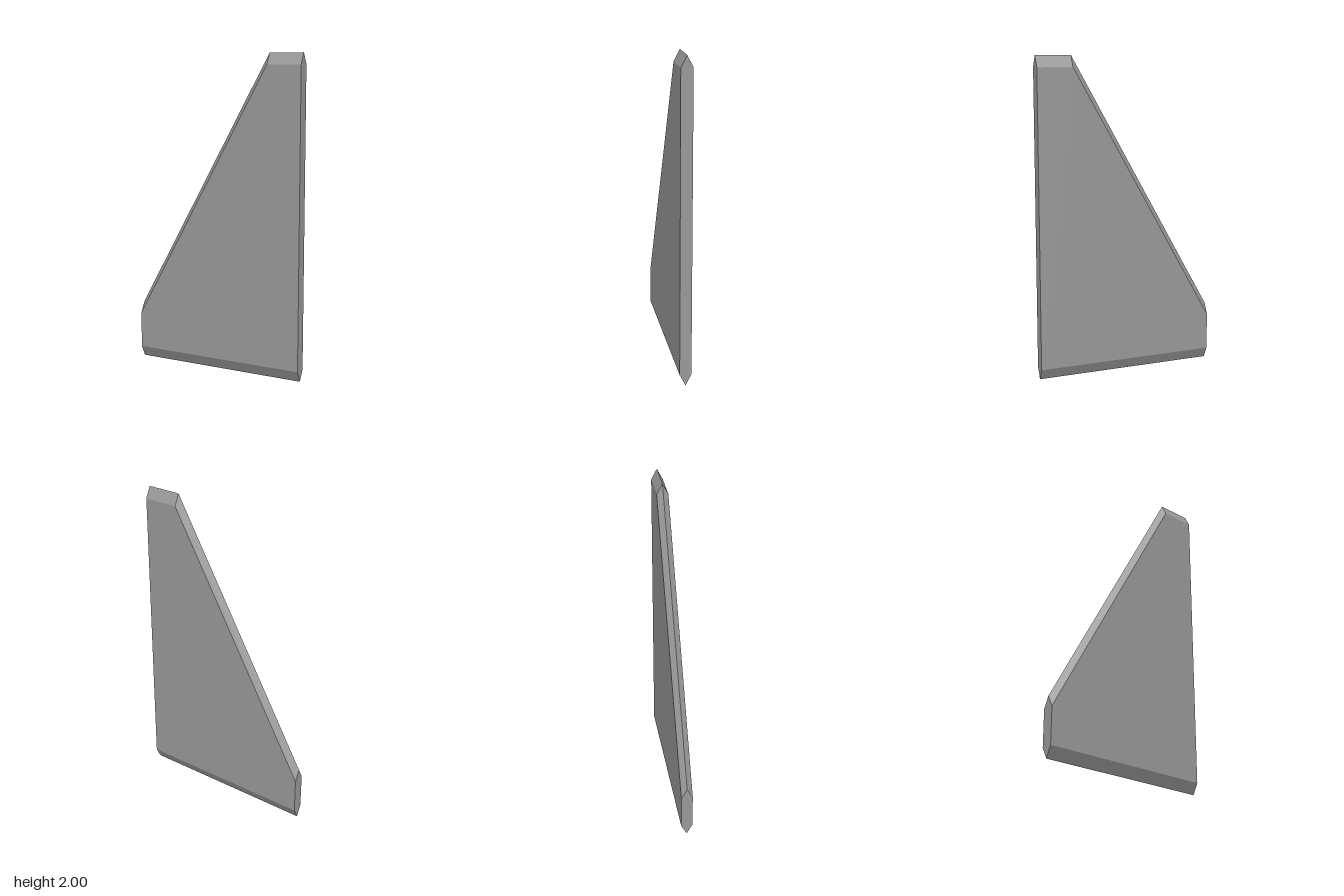
import * as THREE from 'three';

const HALF = 0.036;   // half thickness
const BEVEL = 0.07;   // height of the wedge-shaped edges

// Six-sided upright cross-section at x, ridged at the bottom and top
function section(x, top) {
  return [
    [x, 0, 0], [x, BEVEL, HALF], [x, top - BEVEL, HALF],
    [x, top, 0], [x, top - BEVEL, -HALF], [x, BEVEL, -HALF],
  ];
}

function finGeometry() {
  const sections = [section(-0.575, 0.37), section(0.35, 2), section(0.575, 2)];
  const pos = [];
  const tri = (a, b, c) => pos.push(...a, ...b, ...c);

  // Skin between neighbouring sections
  for (let s = 0; s < sections.length - 1; s++) {
    const a = sections[s], b = sections[s + 1];
    for (let i = 0; i < 6; i++) {
      const j = (i + 1) % 6;
      tri(a[i], b[i], b[j]);
      tri(a[i], b[j], a[j]);
    }
  }

  // Flat ends
  const first = sections[0], last = sections[sections.length - 1];
  for (let i = 1; i < 5; i++) {
    tri(first[0], first[i], first[i + 1]);
    tri(last[0], last[i + 1], last[i]);
  }

  const geo = new THREE.BufferGeometry();
  geo.setAttribute('position', new THREE.Float32BufferAttribute(pos, 3));
  geo.computeVertexNormals();
  return geo;
}

export function createModel() {
  const grey = new THREE.MeshStandardMaterial({ color: 0x999999 });
  grey.name = 'grey';

  const group = new THREE.Group();
  group.name = 'finModel';
  const fin = new THREE.Mesh(finGeometry(), grey);
  fin.name = 'fin';
  group.add(fin);
  return group;
}
